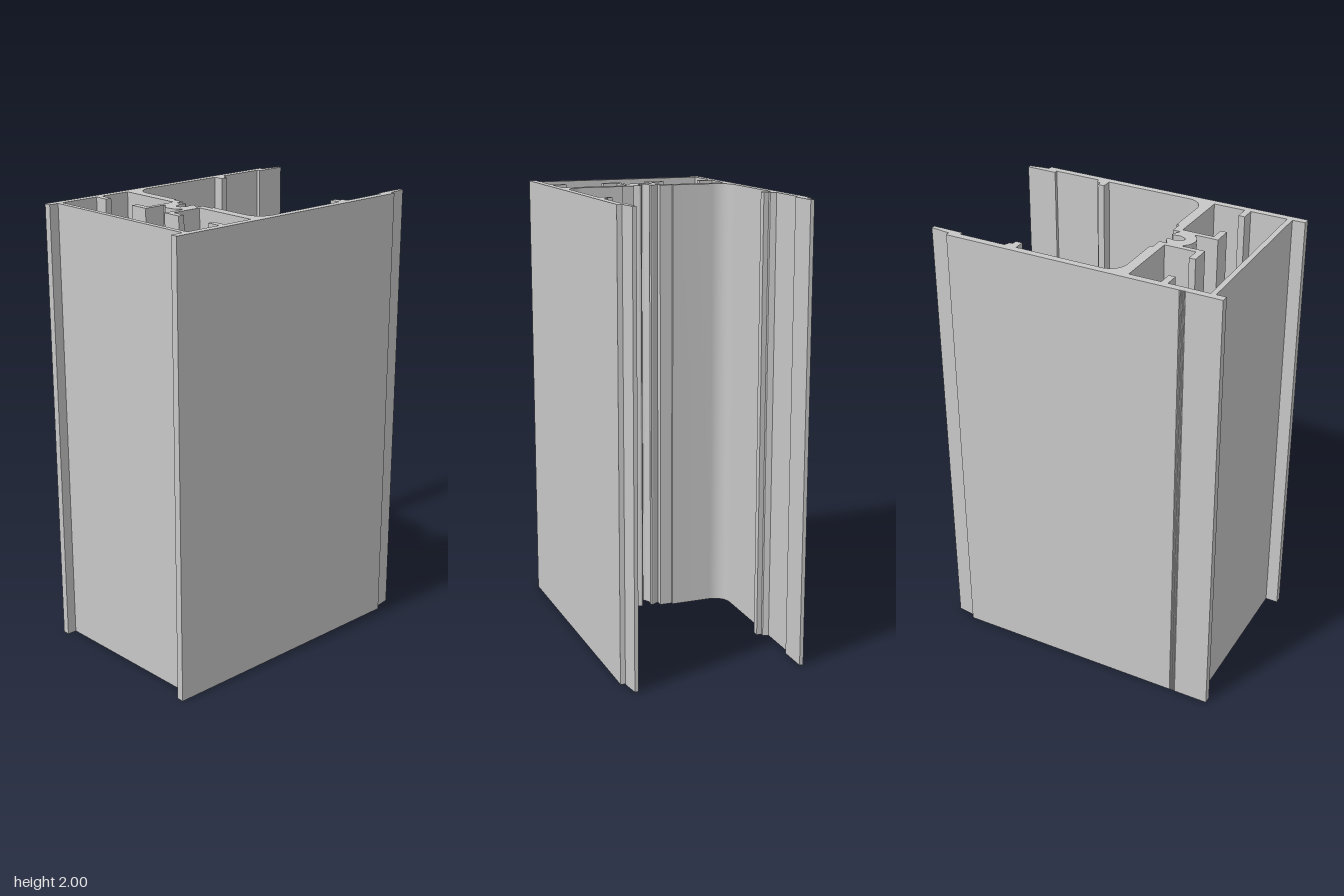
import * as THREE from 'three';
import { toCreasedNormals } from 'three/addons/utils/BufferGeometryUtils.js';

const HEIGHT = 2;

// points [x, z] along an arc, angles in degrees
function arc(cx, cz, r, from, to, steps) {
  return Array.from({ length: steps + 1 }, (_, i) => {
    const a = THREE.MathUtils.degToRad(from + ((to - from) * i) / steps);
    return [cx + r * Math.cos(a), cz + r * Math.sin(a)];
  });
}

// same run of points on the +x side, in reverse order
const mirrored = (pts) => pts.map(([x, z]) => [-x, z]).reverse();

// plan points [x, z]; z is negated because the extrusion is stood upright later
const toVectors = (pts) => pts.map(([x, z]) => new THREE.Vector2(x, -z));

export function createModel() {
  const aluminium = new THREE.MeshStandardMaterial({ color: 0xc8c8c8 });
  aluminium.name = 'aluminium grey';

  // rear half outline: outer wall, clip tip, inner lug, corner fillet, web
  const rearHalf = [
    [-0.418, -0.573], [-0.397, -0.576], [-0.397, -0.594],
    [-0.387, -0.665], [-0.37, -0.665], [-0.37, -0.526], [-0.386, -0.526],
    [-0.386, -0.314], [-0.361, -0.305], [-0.361, -0.29],
    [-0.338, -0.29], [-0.338, -0.259], [-0.386, -0.259],
    ...arc(-0.311, 0.13, 0.075, 180, 90, 10),
    [-0.119, 0.205], [-0.119, 0.217], [-0.062, 0.217], [-0.062, 0.251],
    // lip and throat of the screw channel
    [-0.032, 0.233], [-0.024, 0.232], [-0.019, 0.239], [-0.024, 0.268],
    [-0.013, 0.294], [-0.005, 0.301],
  ];

  // front ends of the walls and the face of the slightly skewed front plate
  const front = [
    [0.418, 0.665], [0.386, 0.665], [0.386, 0.608],
    [-0.386, 0.622], [-0.386, 0.665], [-0.418, 0.665],
  ];

  // fine grooves on the outside of the -x wall
  const grooves = [0.506, 0.496, 0.486].flatMap((z) => [
    [-0.418, z + 0.003], [-0.414, z], [-0.418, z - 0.003],
  ]);

  // front chamber: wall lip, web, hooked leg, round underside of the channel
  const chamberHalf = [
    [-0.386, 0.42], [-0.323, 0.42], [-0.323, 0.391], [-0.386, 0.391],
    [-0.386, 0.251], [-0.083, 0.251], [-0.083, 0.391], [-0.147, 0.391],
    [-0.147, 0.42], [-0.06, 0.42], [-0.06, 0.322],
    ...arc(0, 0.283, 0.065, 146, 98, 5),
  ];

  const profile = new THREE.Shape(toVectors([
    ...rearHalf, ...mirrored(rearHalf), ...front, ...grooves,
  ]));
  // the hole runs against the outline so that its walls face into the chamber
  profile.holes.push(new THREE.Path(toVectors([
    [-0.386, 0.599], ...chamberHalf, ...mirrored(chamberHalf), [0.386, 0.584],
  ].reverse())));

  // extrude the section and stand it upright
  const geometry = new THREE.ExtrudeGeometry(profile, { depth: HEIGHT, bevelEnabled: false });
  geometry.rotateX(-Math.PI / 2);

  const extrusion = new THREE.Mesh(toCreasedNormals(geometry, 0.4), aluminium);
  extrusion.name = 'extrudedFrameProfile';

  const model = new THREE.Group();
  model.name = 'frameProfile';
  model.add(extrusion);
  return model;
}
